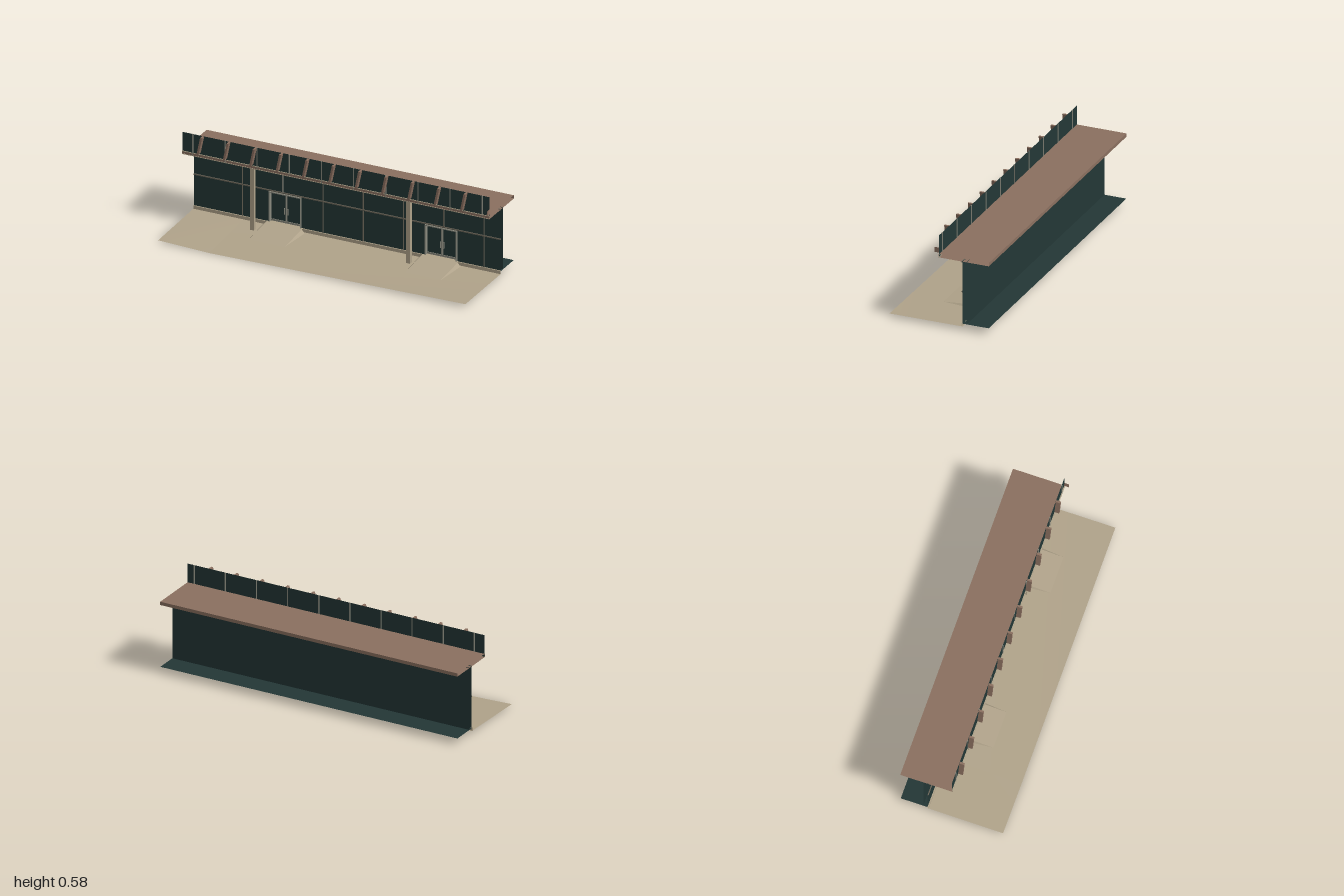
import * as THREE from 'three';

const paint = (name, color, double = false) => {
  const m = new THREE.MeshStandardMaterial({ color });
  m.name = name;
  if (double) m.side = THREE.DoubleSide;
  return m;
};

export function createModel() {
  const model = new THREE.Group();
  model.name = 'storefront';
  const stone = paint('sandStone', 0xb0a38a, true);
  const brown = paint('brownMetal', 0x8b7060, true);
  const glass = paint('darkGlass', 0x233736, true);
  const steel = paint('greySteel', 0x8a8a7e);
  const bronze = paint('bronzeTrim', 0x6b6558);

  const add = (name, geo, mat, parent = model) => {
    const mesh = new THREE.Mesh(geo, mat);
    mesh.name = name;
    parent.add(mesh);
    return mesh;
  };
  // box from its lower and upper limits
  const box = (name, mat, x0, x1, y0, y1, z0, z1, parent) => {
    const g = new THREE.BoxGeometry(x1 - x0, y1 - y0, z1 - z0);
    g.translate((x0 + x1) / 2, (y0 + y1) / 2, (z0 + z1) / 2);
    return add(name, g, mat, parent);
  };
  // flat sheet through four corners, counter-clockwise from its front
  const sheet = (name, mat, ...corners) => {
    const g = new THREE.BufferGeometry();
    g.setAttribute('position', new THREE.Float32BufferAttribute(corners.flat(), 3));
    g.setIndex([0, 1, 2, 0, 2, 3]);
    g.computeVertexNormals();
    return add(name, g, mat);
  };

  // gently sloping pavement
  const edge = [[-1, 0.012], [-0.67, 0], [1, 0.022]];
  for (let i = 0; i < 2; i++) {
    const [xa, ya] = edge[i], [xb, yb] = edge[i + 1];
    sheet('pavement', stone, [xa, ya, 0.315], [xb, yb, 0.315], [xb, 0.023, -0.15], [xa, 0.023, -0.15]);
  }

  // base curb and interior floor
  sheet('curb', stone, [-1, 0.02, -0.143], [1, 0.02, -0.143], [1, 0.043, -0.143], [-1, 0.043, -0.143]);
  sheet('curbTop', stone, [-1, 0.043, -0.143], [1, 0.043, -0.143], [1, 0.043, -0.152], [-1, 0.043, -0.152]);
  sheet('interiorFloor', glass, [-1, 0.041, -0.15], [1, 0.041, -0.15], [1, 0.041, -0.315], [-1, 0.041, -0.315]);

  // glass wall with two door openings, and the wall behind it
  const doors = [-0.405, 0.61];
  const half = 0.105, sill = 0.043, head = 0.238;
  const wall = new THREE.Shape([[-1, 0.041], [1, 0.041], [1, 0.44], [-1, 0.44]].map(p => new THREE.Vector2(...p)));
  for (const x of doors) {
    wall.holes.push(new THREE.Path([[x - half, sill], [x - half, head], [x + half, head], [x + half, sill]]
      .map(p => new THREE.Vector2(...p))));
  }
  add('glassWall', new THREE.ShapeGeometry(wall), glass).position.z = -0.15;
  sheet('backWall', glass, [-1, 0.041, -0.176], [1, 0.041, -0.176], [1, 0.44, -0.176], [-1, 0.44, -0.176]);

  // wall mullions
  const w = 0.003;
  for (let i = 0; i < 7; i++) {
    const x = -0.682 + i * 0.262;
    const overDoor = i === 1 || i === 5;
    box('wallMullion', i === 1 ? steel : bronze, x - w, x + w, overDoor ? 0.245 : sill, 0.44, -0.15, -0.144);
  }
  box('wallRail', bronze, -1, 1, 0.241, 0.248, -0.15, -0.144);
  box('wallHead', bronze, -1, 1, 0.432, 0.44, -0.15, -0.144);

  // recessed double doors and their entry ramps
  for (const x of doors) {
    const door = new THREE.Group();
    door.name = 'doubleDoor';
    model.add(door);
    const l = x - half, r = x + half;
    for (const [a, b] of [[l, l + 0.006], [r - 0.006, r]]) box('doorJamb', steel, a, b, sill, head, -0.172, -0.141, door);
    box('doorHead', steel, l, r, head - 0.006, head, -0.172, -0.141, door);
    box('doorGlass', glass, l, r, sill, head, -0.174, -0.168, door);
    box('doorKick', steel, l, r, sill, 0.056, -0.168, -0.164, door);
    for (const s of [-1, 1]) {
      const c = x + s * 0.004;
      box('doorStile', steel, c - 0.003, c + 0.003, sill, head, -0.168, -0.164, door);
      const h = x + s * 0.011;
      box('doorHandle', steel, h - 0.002, h + 0.002, 0.1, 0.14, -0.164, -0.159, door);
    }
    const a = l - 0.012, b = r + 0.012;
    sheet('entryRamp', stone, [a, 0.025, 0.09], [b, 0.025, 0.09], [b, 0.044, -0.13], [a, 0.044, -0.13]);
    sheet('entryLanding', stone, [a, 0.044, -0.13], [b, 0.044, -0.13], [b, 0.044, -0.17], [a, 0.044, -0.17]);
    for (const [p, q] of [[a, -0.02], [b, 0.02]]) {
      sheet('rampFlare', stone, [p, 0.025, 0.09], [p + q, 0.024, -0.13], [p, 0.044, -0.13], [p, 0.025, 0.09]);
    }
  }

  // columns
  for (const x of [-0.567, 0.45]) box('column', stone, x - 0.0125, x + 0.0125, 0.02, 0.433, -0.064, -0.039);

  // open-ended roof slab with a trimmed front edge
  const yb = 0.437, yt = 0.458, zb = -0.316;
  sheet('roofTop', brown, [-1, yt, 0], [1, yt, 0], [1, yt, zb], [-1, yt, zb]);
  sheet('roofSoffit', brown, [-1, yb, zb], [1, yb, zb], [1, yb, 0], [-1, yb, 0]);
  sheet('roofFront', brown, [-1, yb, 0.002], [1, yb, 0.002], [1, yt, 0.002], [-1, yt, 0.002]);
  sheet('roofBack', brown, [1, yb, zb], [-1, yb, zb], [-1, yt, zb], [1, yt, zb]);
  for (const y of [yb, yt - 0.004]) box('roofTrim', stone, -1, 1, y, y + 0.004, 0, 0.004);

  // parapet glass with mullions
  sheet('parapetGlass', glass, [-1, 0.44, 0], [1, 0.44, 0], [1, 0.578, 0], [-1, 0.578, 0]);
  for (let i = 0; i < 10; i++) {
    const x = -0.932 + i * 0.2095;
    box('parapetMullion', steel, x - w, x + w, 0.44, 0.578, -0.004, 0.003);
  }

  // slanted brackets, leaning toward +x; the last is cut at the end of the wall
  for (let i = 0; i < 12; i++) {
    const x = -0.893 + i * 0.1715;
    const at = (dx, y) => new THREE.Vector2(x + dx, y);
    const outline = i < 11
      ? [at(0, 0.468), at(0.013, 0.468), at(0.036, 0.578), at(0.023, 0.578)]
      : [at(0, 0.468), at(0.007, 0.468), at(0.007, 0.5)];
    const g = new THREE.ExtrudeGeometry(new THREE.Shape(outline), { depth: 0.029, bevelEnabled: false });
    add('slantedBracket', g, brown).position.z = 0.001;
  }
  return model;
}
